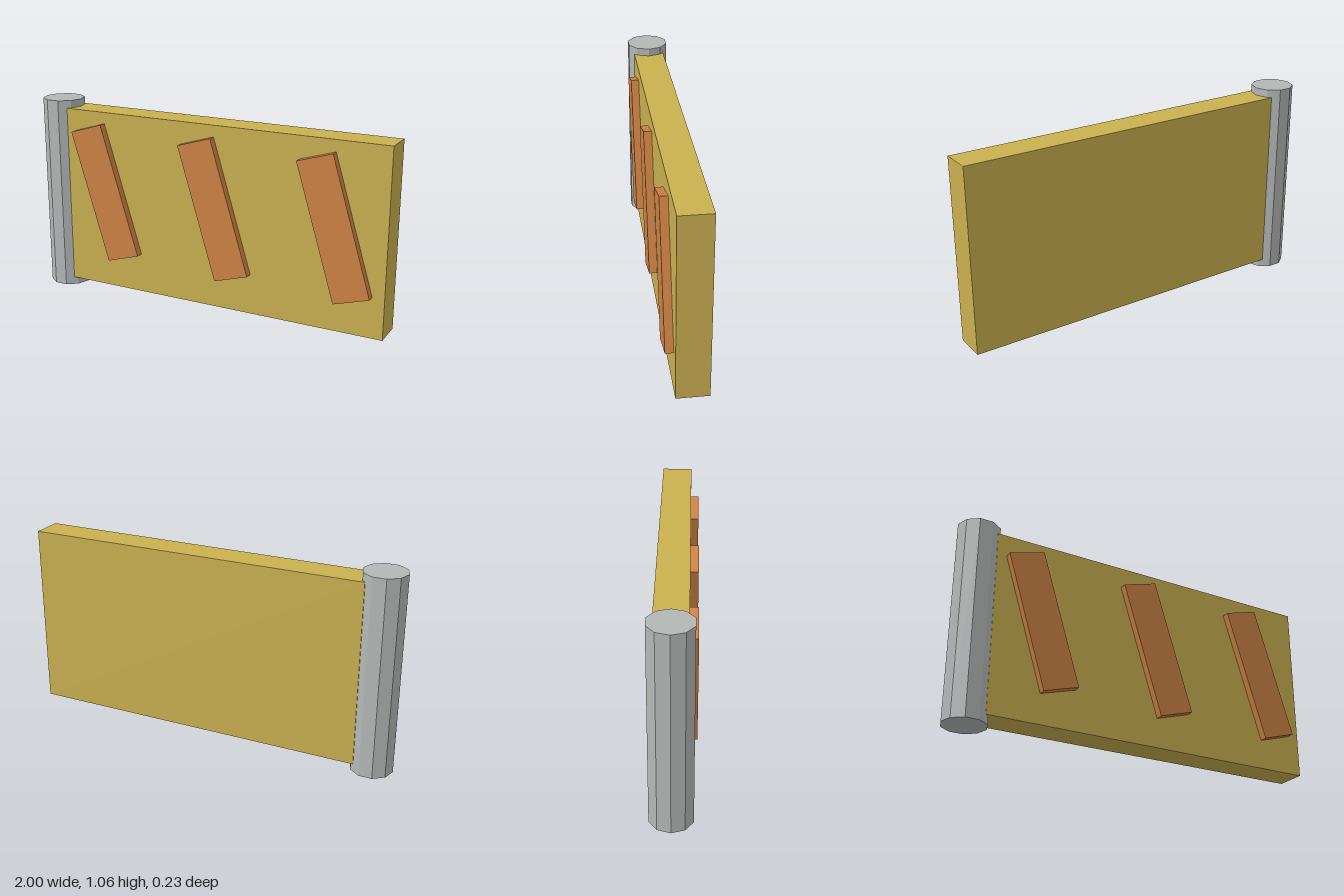
import * as THREE from 'three';

const paint = (name, color) => {
  const material = new THREE.MeshStandardMaterial({ color });
  material.name = name;
  return material;
};

export function createModel() {
  const model = new THREE.Group();
  model.name = 'stripedBarrierPanel';

  const grey = paint('post grey', 0xb3b8b7);
  grey.flatShading = true;
  const yellow = paint('panel yellow', 0xcab050);
  const orange = paint('stripe orange', 0xcd8244);

  const add = (name, geometry, material, x, y, z) => {
    const mesh = new THREE.Mesh(geometry, material);
    mesh.name = name;
    mesh.position.set(x, y, z);
    model.add(mesh);
    return mesh;
  };

  // Ten-sided post with corners pointing along x
  const postHeight = 1.057;
  const post = add('post', new THREE.CylinderGeometry(0.112, 0.112, postHeight, 10),
    grey, -0.888, postHeight / 2, -0.005);
  post.rotation.y = Math.PI / 2;

  // Flat panel, its end sunk into the post
  add('panel', new THREE.BoxGeometry(1.813, 0.973, 0.163), yellow, 0.0925, 0.53, -0.0065);

  // Three raised slanted stripes on the front
  const stripeGeometry = new THREE.BoxGeometry(0.194, 0.73, 0.05);
  for (let i = 0; i < 3; i++) {
    const stripe = add(`stripe${i + 1}`, stripeGeometry, orange, -0.563 + i * 0.65, 0.579, 0.091);
    stripe.rotation.z = THREE.MathUtils.degToRad(17);
  }

  return model;
}
